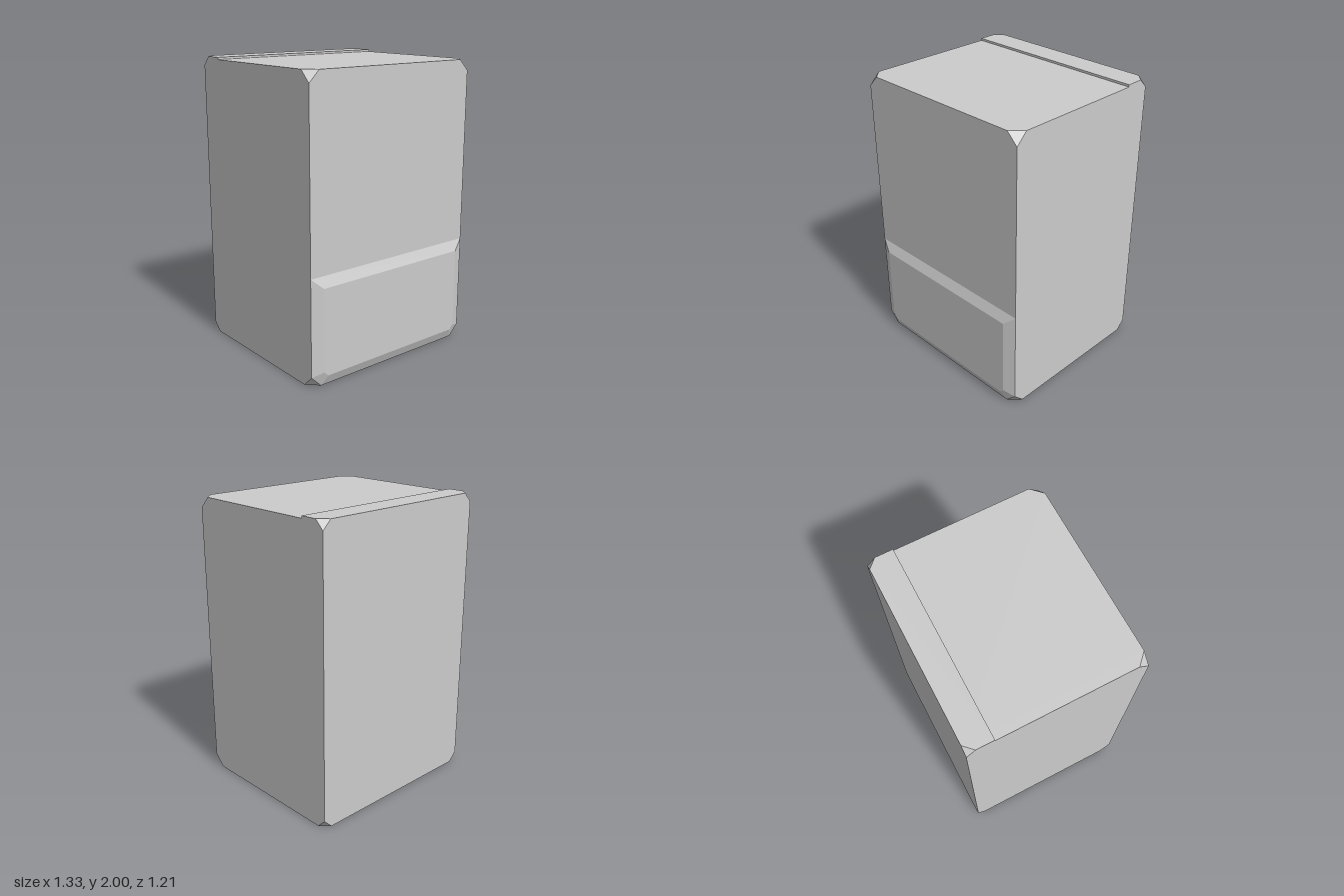
import * as THREE from 'three';
import { ConvexGeometry } from 'three/addons/geometries/ConvexGeometry.js';

const material = new THREE.MeshStandardMaterial({ color: 0xcccccc, flatShading: true });

const W = 0.665;      // half width
const TOP = 1.985;    // body height below the rear ridge
const FRONT = 0.575;
const BACK = -0.605;

// Convex solid, symmetric in x, from the points of its left half
function mirroredHull(name, points) {
  const all = [];
  for (const [x, y, z] of points) {
    all.push(new THREE.Vector3(x, y, z), new THREE.Vector3(-x, y, z));
  }
  const mesh = new THREE.Mesh(new ConvexGeometry(all), material);
  mesh.name = name;
  return mesh;
}

// Three points where a clipped box corner meets its edges; sy, sz point inward
function clippedCorner(y, z, sy, sz, cut) {
  return [
    [W - cut, y, z],
    [W, y + sy * cut, z],
    [W, y, z + sz * cut],
  ];
}

export function createModel() {
  const model = new THREE.Group();
  model.name = 'cabinet';

  // Tall block with all eight corners clipped
  model.add(mirroredHull('body', [
    ...clippedCorner(0, FRONT, 1, -1, 0.075),
    ...clippedCorner(TOP, FRONT, -1, -1, 0.075),
    ...clippedCorner(0, BACK, 1, 1, 0.06),
    ...clippedCorner(TOP, BACK, -1, 1, 0.045),
  ]));

  // Thin raised ridge along the rear of the top, continuing the corner clips
  const ridge = [];
  for (const [y, cut] of [[TOP, 0.045], [2, 0.06]]) {
    ridge.push([W - cut, y, BACK], [W, y, BACK + cut], [W, y, -0.425]);
  }
  model.add(mirroredHull('rearRidge', ridge));

  // Bevelled panel on the lower front, with clipped bottom corners
  model.add(mirroredHull('frontPanel', [
    [W, 0.73, FRONT], [W, 0.075, FRONT], [W - 0.075, 0, FRONT],
    [0.585, 0.66, 0.605], [0.585, 0.1, 0.605], [0.555, 0.07, 0.605],
  ]));

  return model;
}
